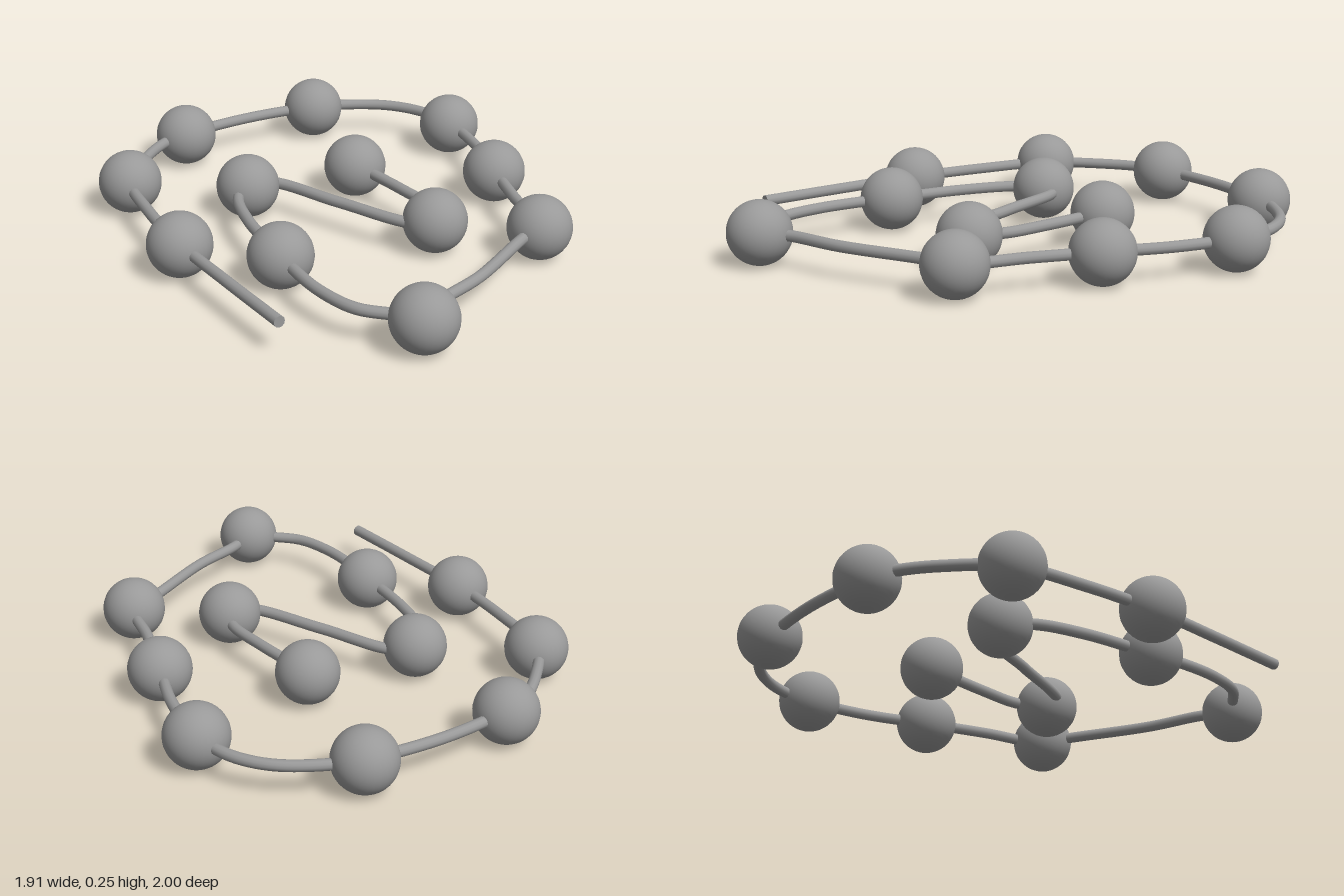
import * as THREE from 'three';

const BEAD_RADIUS = 0.124;
const STRING_RADIUS = 0.022;

// Each row: one bead centre [x, z], then the points the string passes on its way to the next bead
const runs = [
  [[-0.06, -0.275], [0.05, -0.238], [0.215, -0.177], [0.39, -0.098]],
  [[0.473, 0], [0.42, 0.066], [0.08, 0.062], [-0.25, 0.05]],
  [[-0.306, 0.125], [-0.265, 0.245], [-0.1, 0.4]],
  [[0.153, 0.562], [0.25, 0.627], [0.426, 0.717], [0.6, 0.757], [0.727, 0.722]],
  [[0.83, 0.69], [0.812, 0.563], [0.838, 0.32], [0.823, -0.04]],
  [[0.83, -0.163], [0.63, -0.345]],
  [[0.437, -0.535], [0.25, -0.725]],
  [[0.036, -0.876], [-0.087, -0.923], [-0.193, -0.932], [-0.315, -0.905], [-0.458, -0.817]],
  [[-0.558, -0.718], [-0.725, -0.45]],
  [[-0.833, -0.163], [-0.849, -0.04], [-0.815, 0.13]],
  [[-0.72, 0.347], [-0.48, 0.53]],
  [[-0.208, 0.69], [0.11, 0.835], [0.435, 0.977]],
];

export function createModel() {
  const group = new THREE.Group();
  group.name = 'beadedString';
  const material = new THREE.MeshStandardMaterial({ color: 0x999999 });

  // String threaded through all the beads
  const points = runs.flat().map(([x, z]) => new THREE.Vector3(x, BEAD_RADIUS, z));
  const curve = new THREE.CatmullRomCurve3(points, false, 'centripetal');
  curve.arcLengthDivisions = 1000;
  const string = new THREE.Mesh(new THREE.TubeGeometry(curve, 300, STRING_RADIUS, 12), material);
  string.name = 'string';
  group.add(string);

  // Flat caps on the two string ends
  for (const [t, sign] of [[0, -1], [1, 1]]) {
    const cap = new THREE.Mesh(new THREE.CircleGeometry(STRING_RADIUS, 12), material);
    cap.name = 'stringEnd';
    cap.position.copy(curve.getPointAt(t));
    cap.quaternion.setFromUnitVectors(
      new THREE.Vector3(0, 0, 1), curve.getTangentAt(t).multiplyScalar(sign));
    group.add(cap);
  }

  // Round beads
  const beadGeometry = new THREE.SphereGeometry(BEAD_RADIUS, 32, 24);
  runs.forEach(([[x, z]], i) => {
    const bead = new THREE.Mesh(beadGeometry, material);
    bead.name = `bead${i + 1}`;
    bead.position.set(x, BEAD_RADIUS, z);
    group.add(bead);
  });

  return group;
}
